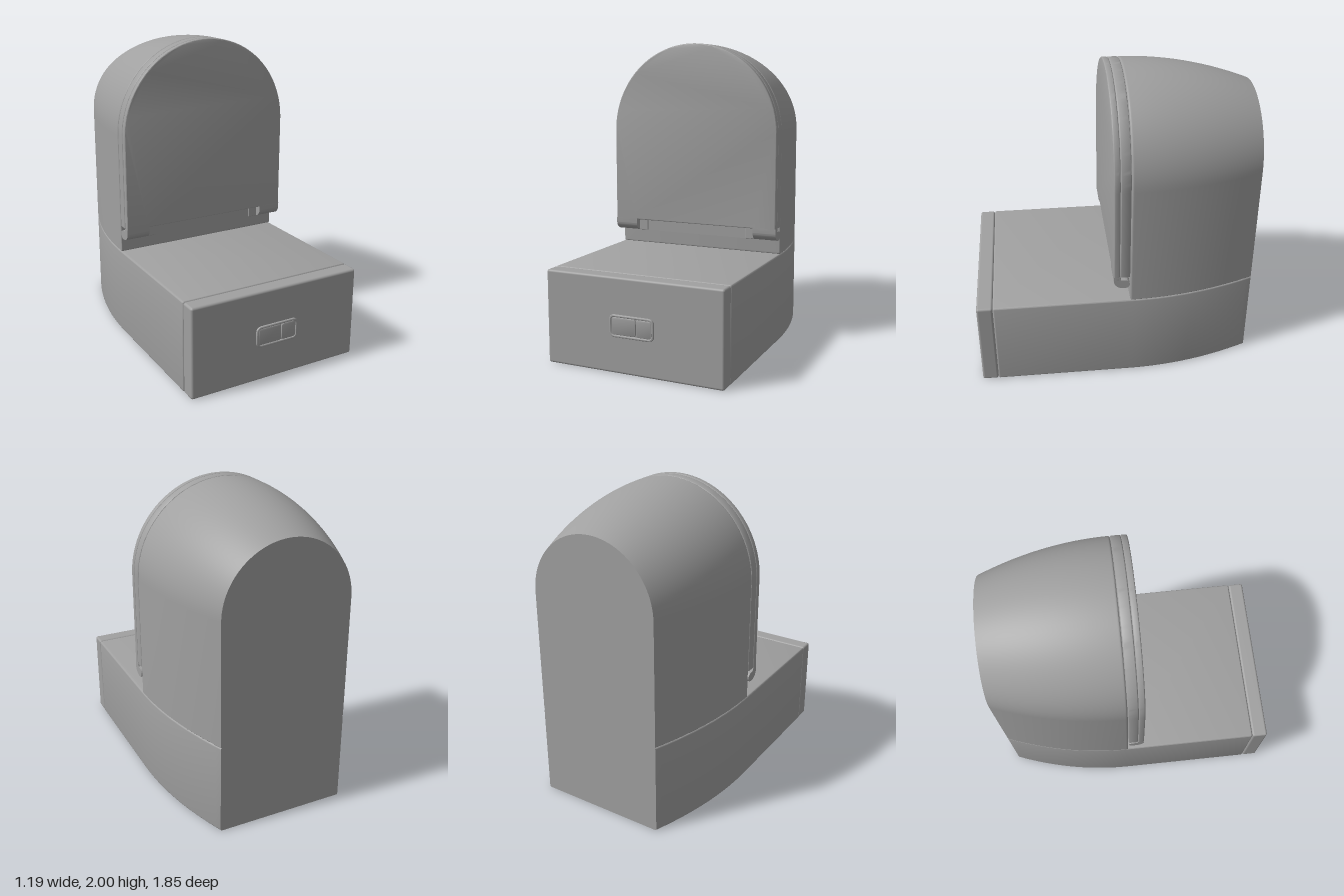
import * as THREE from 'three';
import { toCreasedNormals } from 'three/addons/utils/BufferGeometryUtils.js';
import { RoundedBoxGeometry } from 'three/addons/geometries/RoundedBoxGeometry.js';

const W = 0.595;      // half width
const ARCH_Y = 1.405; // centre height of the arch
const BACK = -0.925;
const material = new THREE.MeshStandardMaterial({ color: 0xa0a0a0 });

// inward taper of both housings towards the back
const taper = z => 0.165 * Math.pow(Math.max(0, -0.085 - z) / 0.84, 2);

// skin between closed convex sections (counter-clockwise, ordered front to back), with end caps
function loft(sections) {
  const n = sections[0].pts.length, pos = [], idx = [];
  for (const s of sections) for (const [x, y] of s.pts) pos.push(x, y, s.z);
  for (let i = 0; i < sections.length - 1; i++) {
    for (let j = 0; j < n; j++) {
      const k = (j + 1) % n, a = i * n + j, b = i * n + k;
      idx.push(a, b + n, b, a, a + n, b + n);
    }
  }
  const last = (sections.length - 1) * n;
  for (let j = 1; j < n - 1; j++) idx.push(0, j, j + 1, last, last + j + 1, last + j);
  const g = new THREE.BufferGeometry();
  g.setAttribute('position', new THREE.Float32BufferAttribute(pos, 3));
  g.setIndex(idx);
  return toCreasedNormals(g, 0.5);
}

// rectangle with rounded corners, as a section
function rectSection(w, y0, y1, r = 0.012) {
  const pts = [];
  const corners = [[w - r, y0 + r, -90], [w - r, y1 - r, 0], [-w + r, y1 - r, 90], [-w + r, y0 + r, 180]];
  for (const [cx, cy, start] of corners) {
    for (let i = 0; i <= 4; i++) {
      const a = (start + i * 22.5) * Math.PI / 180;
      pts.push([cx + r * Math.cos(a), cy + r * Math.sin(a)]);
    }
  }
  return pts;
}

// round-topped doorway section
function archSection(r, y0) {
  const pts = [[-r + 0.006, y0], [r - 0.006, y0], [r, y0 + 0.006]];
  for (let i = 0; i <= 48; i++) {
    const a = i / 48 * Math.PI;
    pts.push([r * Math.cos(a), ARCH_Y + r * Math.sin(a)]);
  }
  pts.push([-r, y0 + 0.006]);
  return pts;
}

// z stations with an edge inset: rounded front edge, then the tapering length
function stations(front, r) {
  const list = [];
  for (let i = 0; i <= 4; i++) {
    const a = i / 4 * Math.PI / 2;
    list.push({ z: front - r * (1 - Math.cos(a)), inset: r * (1 - Math.sin(a)) });
  }
  const start = Math.min(-0.1, front - r - 0.001);
  for (let i = 0; i <= 20; i++) list.push({ z: start + (BACK - start) * i / 20, inset: 0 });
  return list;
}

function roundedRectShape(w, h, r, Type = THREE.Shape) {
  return new Type(rectSection(w / 2, -h / 2, h / 2, r).map(p => new THREE.Vector2(...p)));
}

// flat plate with small bevels, occupying z0 to z1
function plate(shape, z0, z1, bevel) {
  const g = new THREE.ExtrudeGeometry(shape, {
    depth: z1 - z0 - 2 * bevel, bevelThickness: bevel, bevelSize: bevel,
    bevelOffset: -bevel, bevelSegments: 4, curveSegments: 48
  });
  g.translate(0, 0, z0 + bevel);
  return toCreasedNormals(g, 0.7);
}

export function createModel() {
  const model = new THREE.Group();
  const add = (name, geometry, x = 0, y = 0, z = 0) => {
    const mesh = new THREE.Mesh(geometry, material);
    mesh.name = name;
    mesh.position.set(x, y, z);
    model.add(mesh);
  };

  // lower housing
  add('baseHousing', loft(stations(0.808, 0.012).map(({ z, inset }) => ({
    z, pts: rectSection(W - taper(z) - inset, inset, 0.598 - inset)
  }))));

  // upper arched housing
  add('archedHousing', loft(stations(-0.083, 0.01).map(({ z, inset }) => ({
    z, pts: archSection(W - taper(z) - inset, 0.597 + inset)
  }))));

  // front panel of the base
  add('frontPanel', new RoundedBoxGeometry(2 * W, 0.598, 0.105, 3, 0.015), 0, 0.299, 0.8605);

  // latch: raised frame with a slider and a fixed plate inside
  const frame = roundedRectShape(0.3, 0.14, 0.032);
  frame.holes.push(roundedRectShape(0.27, 0.11, 0.02, THREE.Path));
  add('latchFrame', plate(frame, 0.906, 0.925, 0.005), 0, 0.3, 0);
  add('latchSlider', plate(roundedRectShape(0.162, 0.108, 0.014), 0.906, 0.922, 0.003), -0.053, 0.3, 0);
  add('latchPlate', plate(roundedRectShape(0.102, 0.108, 0.014), 0.906, 0.922, 0.003), 0.083, 0.3, 0);

  // inner lid layer
  const inner = new THREE.Shape();
  inner.moveTo(-W, 0.785);
  inner.lineTo(W, 0.785);
  inner.lineTo(W, ARCH_Y);
  inner.absarc(0, ARCH_Y, W, 0, Math.PI, false);
  inner.closePath();
  add('innerLid', plate(inner, -0.08, -0.015, 0.008));

  // outer lid, cut away at the bottom for the hinge
  const outer = new THREE.Shape();
  outer.moveTo(-W, 0.76);
  outer.lineTo(-0.435, 0.76);
  outer.lineTo(-0.435, 0.779);
  outer.lineTo(0.435, 0.779);
  outer.lineTo(0.435, 0.76);
  outer.lineTo(W, 0.76);
  outer.lineTo(W, ARCH_Y);
  outer.absarc(0, ARCH_Y, W, 0, Math.PI, false);
  outer.closePath();
  add('outerLid', plate(outer, -0.014, 0.026, 0.008));

  // hooked lips curling under the lid on either side of the hinge
  const hook = new THREE.Shape();
  hook.moveTo(-0.012, 0.785);
  hook.lineTo(-0.022, 0.762);
  hook.lineTo(-0.048, 0.76);
  hook.absarc(-0.048, 0.73, 0.03, Math.PI / 2, Math.PI * 1.5, false);
  hook.lineTo(-0.034, 0.7);
  hook.absarc(-0.034, 0.76, 0.06, -Math.PI / 2, 0, false);
  hook.lineTo(0.026, 0.785);
  hook.closePath();
  const lip = new THREE.ExtrudeGeometry(hook, { depth: W - 0.435, bevelEnabled: false, curveSegments: 12 });
  lip.rotateY(-Math.PI / 2);
  const lipGeometry = toCreasedNormals(lip, 0.6);
  add('leftLip', lipGeometry, W);
  add('rightLip', lipGeometry, -0.435);

  // hinge bar in the cut-out, with a lug at each end
  add('hingeBar', new THREE.BoxGeometry(0.736, 0.086, 0.06), 0, 0.743, -0.053);
  for (const side of [-1, 1]) {
    add(side > 0 ? 'leftHingeLug' : 'rightHingeLug',
      new RoundedBoxGeometry(0.066, 0.086, 0.062, 3, 0.005), side * 0.402, 0.743, -0.048);
  }
  return model;
}
